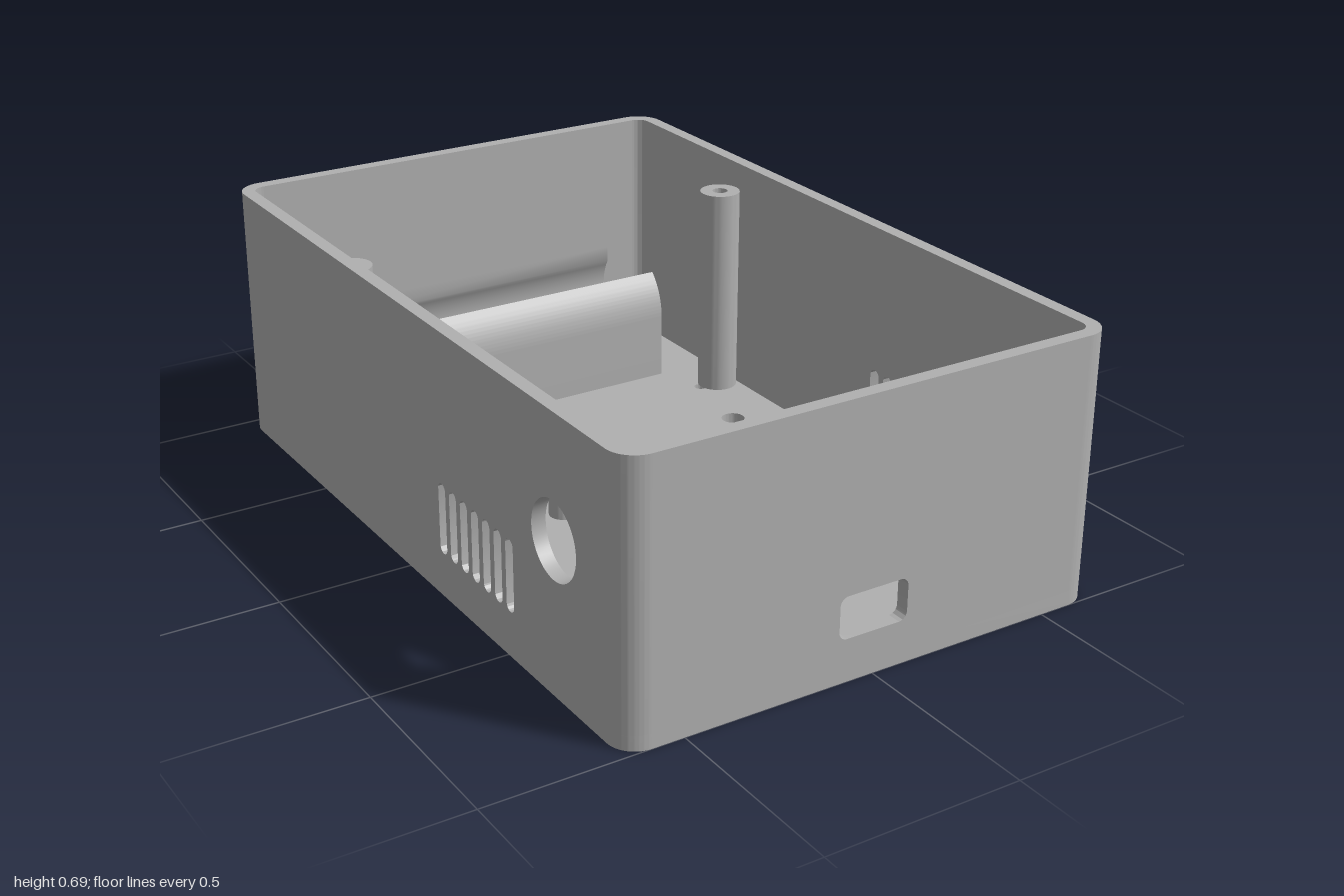
import * as THREE from 'three';
import { toCreasedNormals } from 'three/addons/utils/BufferGeometryUtils.js';

const HX = 0.653, HZ = 1, H = 0.692; // half width, half length, height
const T = 0.036, FLOOR = 0.0385, R = 0.07; // wall, floor, corner radius

// Rounded rectangle centred on (cx, cy)
function roundedRect(cx, cy, w, h, r, Type = THREE.Shape) {
  const p = new Type(), a = w / 2 - r, b = h / 2 - r;
  p.moveTo(cx + a + r, cy - b);
  p.absarc(cx + a, cy + b, r, 0, Math.PI / 2, false);
  p.absarc(cx - a, cy + b, r, Math.PI / 2, Math.PI, false);
  p.absarc(cx - a, cy - b, r, Math.PI, Math.PI * 1.5, false);
  p.absarc(cx + a, cy - b, r, Math.PI * 1.5, Math.PI * 2, false);
  p.closePath();
  return p;
}

function circle(cx, cy, r, Type = THREE.Path) {
  const p = new Type();
  p.absarc(cx, cy, r, 0, Math.PI * 2, false);
  return p;
}

function rect(x0, x1, y0, y1) {
  return new THREE.Shape([[x0, y0], [x1, y0], [x1, y1], [x0, y1]].map(([x, y]) => new THREE.Vector2(x, y)));
}

function extrude(shape, depth) {
  const geo = new THREE.ExtrudeGeometry(shape, { depth, bevelEnabled: false, curveSegments: 20 });
  return toCreasedNormals(geo, 0.6);
}

// Plan shape (x, z) raised from y0 to y1
const raise = (shape, y0, y1) => extrude(shape, y1 - y0).rotateX(Math.PI / 2).translate(0, y1, 0);

// Side shape (z, y) spanning x0 to x1
const across = (shape, x0, x1) => extrude(shape, x1 - x0).rotateY(-Math.PI / 2).translate(x1, 0, 0);

export function createModel() {
  const model = new THREE.Group();
  model.name = 'enclosure';
  const grey = new THREE.MeshStandardMaterial({ color: 0xb0b0b0 });
  grey.name = 'grey plastic';
  const add = (name, geo) => {
    const mesh = new THREE.Mesh(geo, grey);
    mesh.name = name;
    model.add(mesh);
  };

  // Floor with mounting and cable holes
  const floor = roundedRect(0, 0, HX * 2, HZ * 2, R);
  for (const s of [-1, 1]) {
    floor.holes.push(circle(s * 0.462, -0.235, 0.032));
    floor.holes.push(circle(s * 0.505, -0.465, 0.017), circle(s * 0.508, 0.842, 0.017));
  }
  add('floor', raise(floor, 0, FLOOR));

  // Front wall with port opening, plain back wall
  const front = rect(-HX + R, HX - R, FLOOR, H);
  front.holes.push(roundedRect(-0.002, 0.164, 0.188, 0.108, 0.022, THREE.Path));
  add('frontWall', extrude(front, T).translate(0, 0, HZ - T));
  add('backWall', extrude(rect(-HX + R, HX - R, FLOOR, H), T).translate(0, 0, -HZ));

  // Side walls with a round opening and seven vent slots each
  for (const s of [-1, 1]) {
    const side = rect(-HZ + R, HZ - R, FLOOR, H);
    side.holes.push(circle(s > 0 ? 0.667 : 0.715, 0.388, 0.096));
    for (let i = 0; i < 7; i++) {
      side.holes.push(roundedRect(0.188 + i * 0.0543, 0.21, 0.035, 0.185, 0.0174, THREE.Path));
    }
    const x0 = s > 0 ? HX - T : -HX;
    add(s > 0 ? 'leftWall' : 'rightWall', across(side, x0, x0 + T));
  }

  // Rounded wall corners
  [[1, 1], [-1, 1], [-1, -1], [1, -1]].forEach(([sx, sz], i) => {
    const a = i * Math.PI / 2, cx = sx * (HX - R), cz = sz * (HZ - R);
    const corner = new THREE.Shape();
    corner.absarc(cx, cz, R, a, a + Math.PI / 2, false);
    corner.absarc(cx, cz, R - T, a + Math.PI / 2, a, true);
    corner.closePath();
    add('wallCorner', raise(corner, FLOOR, H));
  });

  // Hollow posts: tall ones for the lid, short ones for a board
  const post = (name, x, z, r, hole, top) => {
    const ring = circle(x, z, r, THREE.Shape);
    ring.holes.push(circle(x, z, hole));
    add(name, raise(ring, FLOOR, top));
  };
  for (const s of [-1, 1]) {
    for (const z of [-0.465, 0.905]) post('lidPost', s * 0.562, z, 0.055, 0.021, 0.62);
    for (const z of [0.02, 0.866]) post('boardPost', s * 0.231, z, 0.037, 0.017, 0.125);
  }

  // Cradle: round trough on a square base, its mouth cut by vertical planes
  const cz = -0.779, ro = 0.176, ri = 0.148, mouth = 0.125, cy = FLOOR + ro;
  const ao = Math.acos(mouth / ro), ai = Math.acos(mouth / ri);
  const cradle = new THREE.Shape();
  cradle.moveTo(cz - ro, FLOOR);
  cradle.lineTo(cz + ro, FLOOR);
  cradle.absarc(cz, cy, ro, 0, ao, false);
  cradle.absarc(cz, cy, ri, ai, -Math.PI - ai, true);
  cradle.absarc(cz, cy, ro, Math.PI - ao, Math.PI, false);
  cradle.closePath();
  add('cradle', across(cradle, -0.46, 0.46));

  return model;
}
